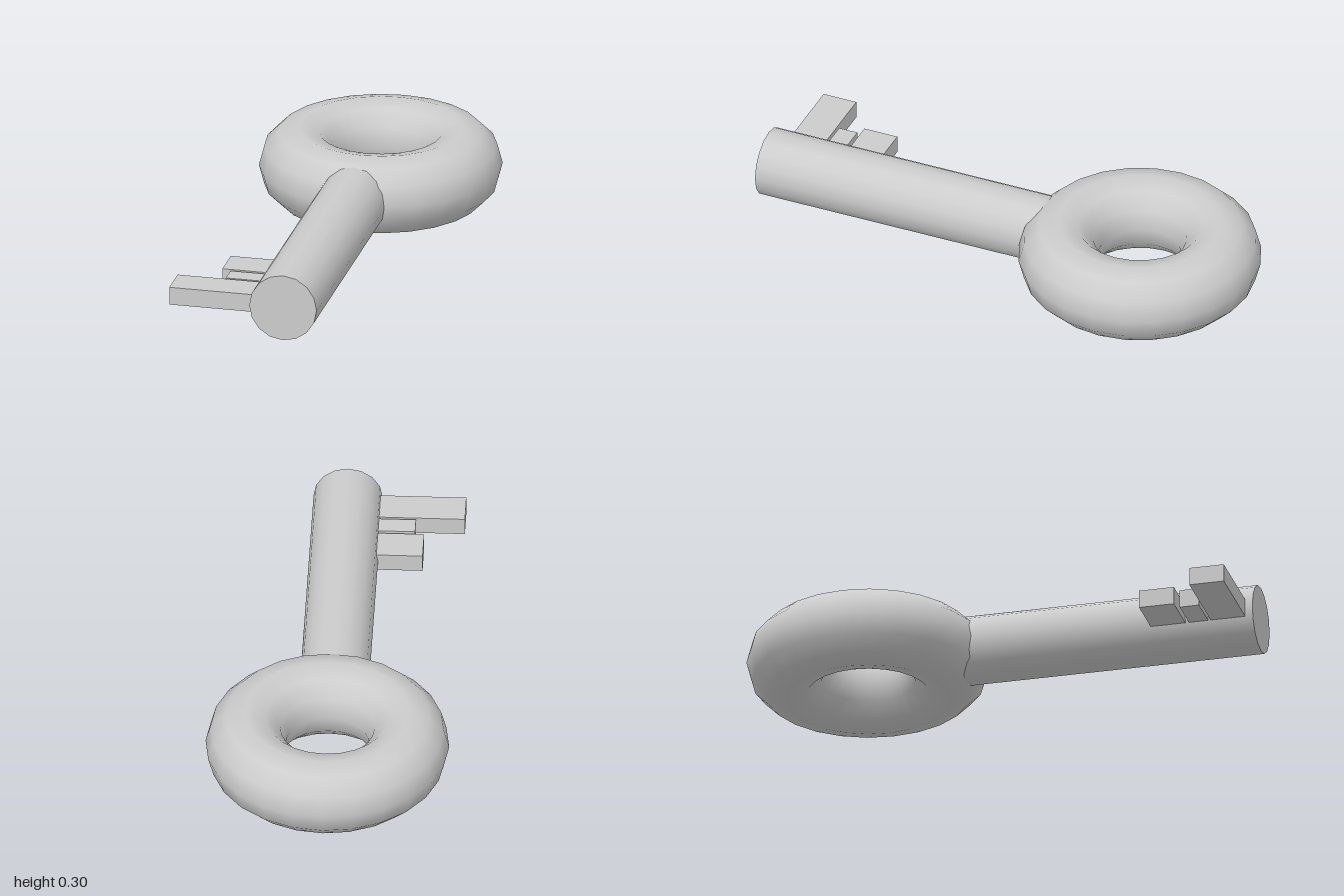
import * as THREE from 'three';

export function createModel() {
  const group = new THREE.Group();
  group.name = 'key';
  const material = new THREE.MeshStandardMaterial({ color: 0xcccccc });
  const midY = 0.152;

  const add = (name, geometry, x, y, z) => {
    const mesh = new THREE.Mesh(geometry, material);
    mesh.name = name;
    mesh.position.set(x, y, z);
    group.add(mesh);
  };

  // Ring-shaped handle lying flat
  add('bow', new THREE.TorusGeometry(0.31, 0.152, 12, 24).rotateX(Math.PI / 2), 0, midY, -0.538);

  // Round shaft running from inside the bow to the tip
  const shaftBack = -0.24, shaftFront = 1, shaftX = -0.01;
  const length = shaftFront - shaftBack;
  add('shaft', new THREE.CylinderGeometry(0.131, 0.131, length, 16).rotateX(Math.PI / 2),
    shaftX, midY, (shaftBack + shaftFront) / 2);

  // Three teeth on the right side: [outer x, back z, front z]
  const teeth = [
    [-0.31, 0.6, 0.736],
    [-0.275, 0.75, 0.825],
    [-0.46, 0.835, 0.97],
  ];
  const innerX = -0.06;
  teeth.forEach(([outerX, back, front], i) => {
    add(`tooth${i + 1}`, new THREE.BoxGeometry(innerX - outerX, 0.07, front - back),
      (innerX + outerX) / 2, 0.148, (back + front) / 2);
  });

  return group;
}
